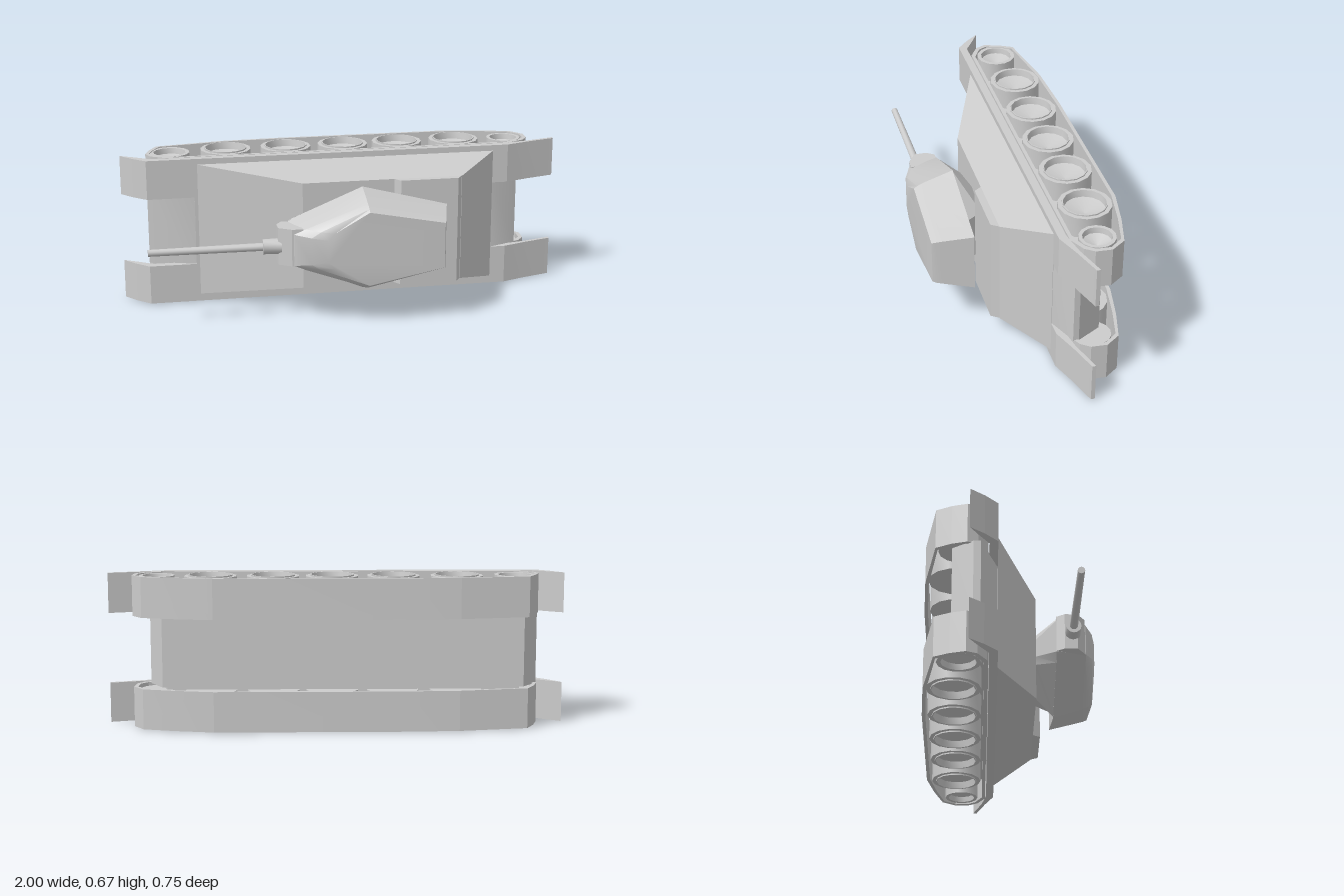
import * as THREE from 'three';
import { toCreasedNormals } from 'three/addons/utils/BufferGeometryUtils.js';

const WIDTH = 0.672, MID = WIDTH / 2;
const mat = new THREE.MeshStandardMaterial({ color: 0xcccccc, side: THREE.DoubleSide });

function add(parent, name, geometry, crease = 0.45) {
  const mesh = new THREE.Mesh(toCreasedNormals(geometry, crease), mat);
  mesh.name = name;
  parent.add(mesh);
  return mesh;
}

// Side profile in (x, z), extruded across the vehicle from y0 to y1
function slab(points, y0, y1, hole) {
  const shape = new THREE.Shape(points.map(p => new THREE.Vector2(...p)));
  if (hole) shape.holes.push(new THREE.Path(hole.map(p => new THREE.Vector2(...p))));
  return new THREE.ExtrudeGeometry(shape, { depth: y1 - y0, bevelEnabled: false })
    .rotateX(Math.PI / 2).translate(0, y1, 0);
}

// Symmetric loft: each level is [z, [[x, halfWidth], ...]], x running from nose to tail
function loft(levels, centre) {
  const rings = levels.map(([z, half]) => [
    ...half.map(([x, w]) => [x, centre - w, z]),
    ...half.slice().reverse().map(([x, w]) => [x, centre + w, z]),
  ]);
  const pos = [], n = rings[0].length;
  const tri = (...corners) => corners.forEach(c => pos.push(...c));
  for (let k = 0; k < rings.length - 1; k++) {
    for (let i = 0; i < n; i++) {
      const j = (i + 1) % n, a = rings[k], b = rings[k + 1];
      tri(a[i], a[j], b[j]);
      tri(a[i], b[j], b[i]);
    }
  }
  const first = rings[0], last = rings[rings.length - 1];
  for (let i = 1; i < n - 1; i++) {
    tri(first[0], first[i + 1], first[i]);
    tri(last[0], last[i], last[i + 1]);
  }
  const g = new THREE.BufferGeometry();
  g.setAttribute('position', new THREE.Float32BufferAttribute(pos, 3));
  g.computeVertexNormals();
  return g;
}

// Round part lying along x
function rod(r0, r1, x0, x1, y, z, sides = 12) {
  return new THREE.CylinderGeometry(r1, r0, x1 - x0, sides)
    .rotateZ(-Math.PI / 2).translate((x0 + x1) / 2, y, z);
}

// Dished road wheel, its open face towards +y
function wheel(r, h, rim) {
  const profile = [[0, 0], [r, 0], [r, h], [r * 0.84, h], [r * 0.84, h + rim],
    [r * 0.8, h + rim], [r * 0.76, h - 0.025], [0, h - 0.05]];
  return new THREE.LatheGeometry(profile.map(p => new THREE.Vector2(...p)), 14);
}

export function createModel() {
  const tank = new THREE.Group();
  tank.name = 'tank';

  // Lower hull between the tracks, with wider side panels behind the wheels
  add(tank, 'lowerHull', slab([[-0.68, -0.062], [-0.885, -0.13], [-0.885, -0.16], [-0.82, -0.247],
    [0.76, -0.247], [0.82, -0.14], [0.82, -0.115], [0.69, -0.062]], 0.175, 0.497));
  add(tank, 'hullSides', slab([[-0.78, -0.1], [-0.8, -0.247], [0.74, -0.247], [0.78, -0.1]], 0.1, 0.572));

  // Fender deck and its central plate
  add(tank, 'deck', slab([[-0.68, -0.06], [-0.68, -0.09], [0.69, -0.09], [0.69, -0.06]], 0.175, 0.497));

  // Sloped superstructure and raised engine deck
  add(tank, 'superstructure', loft([
    [-0.06, [[-0.665, 0.303], [0.69, 0.303]]],
    [0.115, [[-0.22, 0.242], [0.5, 0.242]]],
  ], 0.34), 0.1);
  add(tank, 'engineDeck', loft([
    [0.112, [[0.19, 0.242], [0.5, 0.242]]],
    [0.148, [[0.215, 0.242], [0.475, 0.242]]],
  ], 0.34), 0.1);

  // Turret with undercut base
  const turret = new THREE.Group();
  turret.name = 'turret';
  tank.add(turret);
  const tc = 0.348;
  add(turret, 'turretBase', loft([
    [0.113, [[-0.2, 0.04], [-0.18, 0.07], [0.03, 0.13], [0.19, 0.1]]],
    [0.202, [[-0.33, 0.075], [-0.28, 0.105], [0.03, 0.23], [0.26, 0.11]]],
  ], tc), 0.3);
  add(turret, 'turretShell', loft([
    [0.2, [[-0.33, 0.075], [-0.28, 0.105], [0.03, 0.232], [0.41, 0.133]]],
    [0.33, [[-0.29, 0.07], [-0.24, 0.092], [0.03, 0.19], [0.376, 0.112]]],
    [0.362, [[-0.22, 0.06], [-0.18, 0.085], [0.03, 0.176], [0.368, 0.106]]],
    [0.376, [[-0.15, 0.05], [-0.12, 0.08], [0.03, 0.165], [0.362, 0.101]]],
  ], tc), 0.5);

  // Gun mantlet, collar and barrel
  add(turret, 'mantlet', slab([[-0.33, 0.2], [-0.27, 0.2], [-0.25, 0.33], [-0.3, 0.325],
    [-0.355, 0.29], [-0.355, 0.235]], 0.275, 0.44));
  add(turret, 'gunCollar', rod(0.033, 0.035, -0.42, -0.34, 0.353, 0.27), 0.8);
  const barrel = [[0.015, -0.91], [0.018, -0.4]];
  add(turret, 'gunBarrel', rod(barrel[0][0], barrel[1][0], barrel[0][1], barrel[1][1], 0.353, 0.27), 0.8);

  // Running gear and fenders, mirrored on both sides
  const loop = [[-0.8, -0.1], [-0.865, -0.14], [-0.885, -0.185], [-0.865, -0.25], [-0.83, -0.315],
    [-0.53, -0.365], [-0.25, -0.377], [0.53, -0.377], [0.7, -0.345], [0.84, -0.308],
    [0.885, -0.245], [0.88, -0.175], [0.85, -0.135], [0.78, -0.1]];
  const inner = loop.map(([x, z]) => [x * 0.98, -0.237 + (z + 0.237) * 0.89]);
  const fender = [[-1, -0.175], [-0.95, -0.115], [-0.89, -0.06], [0.76, -0.06], [0.87, -0.1], [1, -0.14],
    [1, -0.157], [0.86, -0.115], [0.75, -0.095], [-0.87, -0.095], [-0.94, -0.14]];
  const wheels = [[-0.775, -0.215, 0.09], [-0.52, -0.238, 0.115], [-0.245, -0.238, 0.115],
    [0.02, -0.238, 0.115], [0.275, -0.238, 0.115], [0.545, -0.238, 0.115], [0.78, -0.215, 0.078]];

  for (const side of [1, -1]) {
    const gear = new THREE.Group();
    gear.name = side > 0 ? 'upperTrackUnit' : 'lowerTrackUnit';
    tank.add(gear);
    const [y0, y1] = side > 0 ? [0.492, 0.669] : [0.003, 0.18];
    add(gear, 'track', slab(loop, y0, y1, inner), 0.1);
    add(gear, 'fender', slab(fender, y0, y1), 0.1);
    wheels.forEach(([x, z, r]) => {
      const g = wheel(r, 0.16, r > 0.1 ? 0.006 : 0);
      if (side < 0) g.rotateX(Math.PI);
      add(gear, 'roadWheel', g, 0.5).position.set(x, MID + side * 0.17, z);
    });
  }
  return tank;
}
